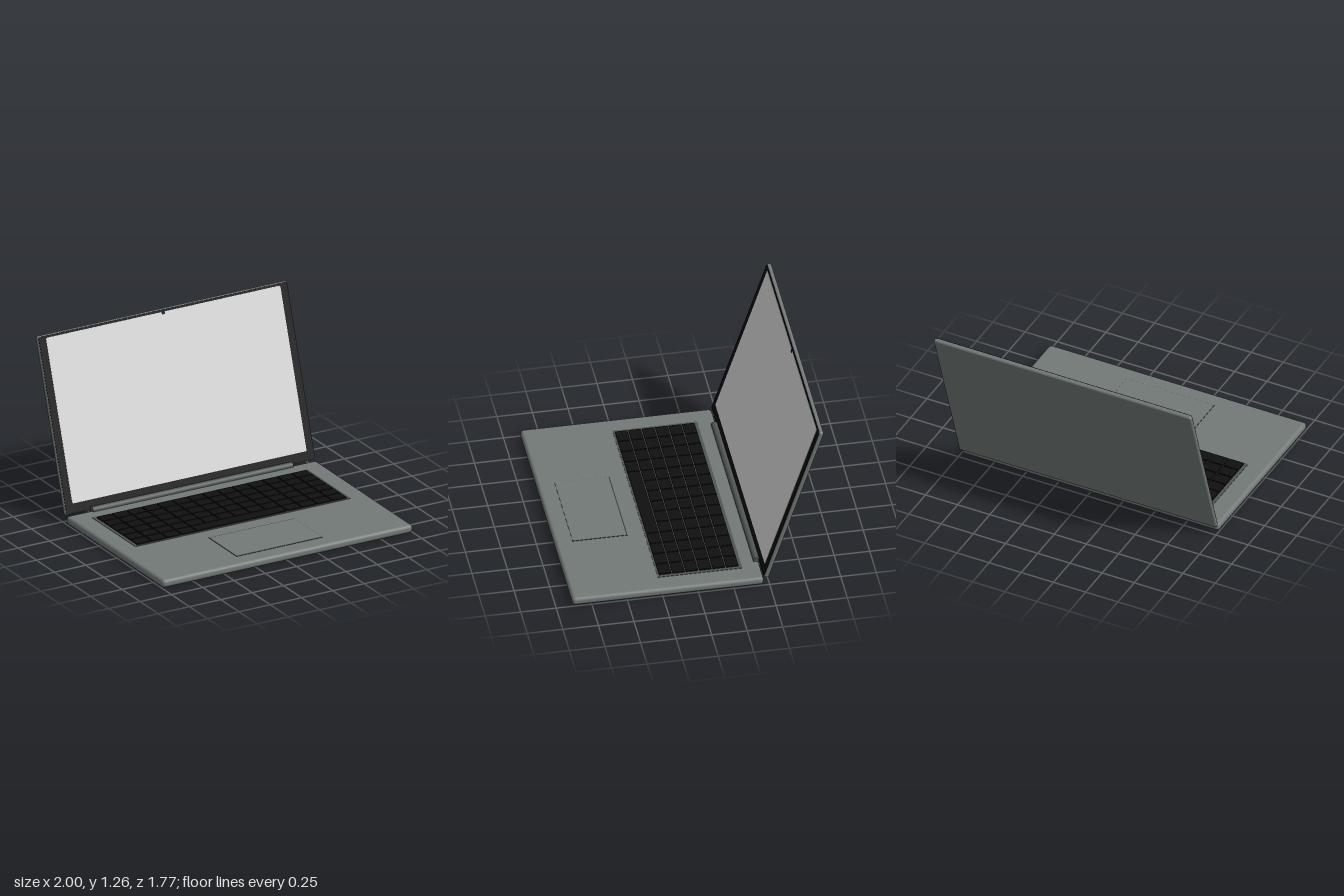
import * as THREE from 'three';
import { RoundedBoxGeometry } from 'three/addons/geometries/RoundedBoxGeometry.js';

const material = (name, color) => {
  const m = new THREE.MeshStandardMaterial({ color });
  m.name = name;
  return m;
};

// Flat plate with rounded corners in the xy plane, facing +z
function roundedPlate(w, h, r, depth) {
  const x = w / 2, y = h / 2, s = new THREE.Shape();
  s.moveTo(-x + r, -y);
  s.lineTo(x - r, -y).quadraticCurveTo(x, -y, x, -y + r);
  s.lineTo(x, y - r).quadraticCurveTo(x, y, x - r, y);
  s.lineTo(-x + r, y).quadraticCurveTo(-x, y, -x, y - r);
  s.lineTo(-x, -y + r).quadraticCurveTo(-x, -y, -x + r, -y);
  return new THREE.ExtrudeGeometry(s, { depth, bevelEnabled: false, curveSegments: 5 });
}

export function createModel() {
  const body = material('grey metal', 0x727a77);
  const trim = material('dark grey trim', 0x515755);
  const groove = material('groove grey', 0x343837);
  const black = material('bezel black', 0x0b0c0d);
  const keyBlack = material('key black', 0x101010);
  const glass = material('screen grey', 0xdcdcdc);

  const model = new THREE.Group();
  model.name = 'laptop';
  const add = (parent, name, geometry, mat, x, y, z) => {
    const mesh = new THREE.Mesh(geometry, mat);
    mesh.name = name;
    mesh.position.set(x, y, z);
    parent.add(mesh);
    return mesh;
  };
  const box = (w, h, d) => new THREE.BoxGeometry(w, h, d);

  // Base slab
  add(model, 'base', new RoundedBoxGeometry(2, 0.06, 1.345, 4, 0.025), body, 0, 0.03, 0.2125);

  // Keyboard tray and its keys
  const keyboard = new THREE.Group();
  keyboard.name = 'keyboard';
  model.add(keyboard);
  add(keyboard, 'keyboardTray', box(1.72, 0.006, 0.595), trim, 0, 0.06, -0.0375);
  const pitchX = 0.12, pitchZ = 0.0945, gap = 0.008, columns = 14, rows = 6;
  const addKey = (name, x, row, span) =>
    add(keyboard, name, box(span * pitchX - gap, 0.012, pitchZ - gap), keyBlack,
      x, 0.066, -0.316 + (row + 0.5) * pitchZ);
  for (let row = 0; row < rows; row++) {
    for (let col = 0; col < columns; col++) {
      const underSpaceBar = row === rows - 1 && col >= 4 && col < 10;
      if (!underSpaceBar) addKey('key', (col - (columns - 1) / 2) * pitchX, row, 1);
    }
  }
  addKey('spaceBar', 0, rows - 1, 6);

  // Trackpad with a dark seam around it
  add(model, 'trackpadSeam', box(0.684, 0.004, 0.386), groove, 0, 0.0605, 0.57);
  add(model, 'trackpad', box(0.68, 0.004, 0.377), body, 0, 0.0615, 0.5725);

  // Hinge bar
  const hinge = new THREE.CylinderGeometry(0.025, 0.025, 1.6, 24).rotateZ(Math.PI / 2);
  add(model, 'hinge', hinge, trim, 0, 0.065, -0.447);

  // Lid, tilted back
  const lid = new THREE.Group();
  lid.name = 'lid';
  lid.position.set(0, 0.657, -0.672);
  lid.rotation.x = -THREE.MathUtils.degToRad(18.2);
  model.add(lid);
  add(lid, 'lidShell', new RoundedBoxGeometry(2, 1.262, 0.036, 4, 0.016), body, 0, 0, 0);
  add(lid, 'bezel', roundedPlate(1.984, 1.246, 0.015, 0.003), black, 0, 0, 0.016);
  add(lid, 'screen', roundedPlate(1.872, 1.168, 0.012, 0.002), glass, 0, 0.024, 0.0185);
  add(lid, 'camera', box(0.024, 0.02, 0.003), black, 0, 0.6, 0.0205);

  return model;
}
